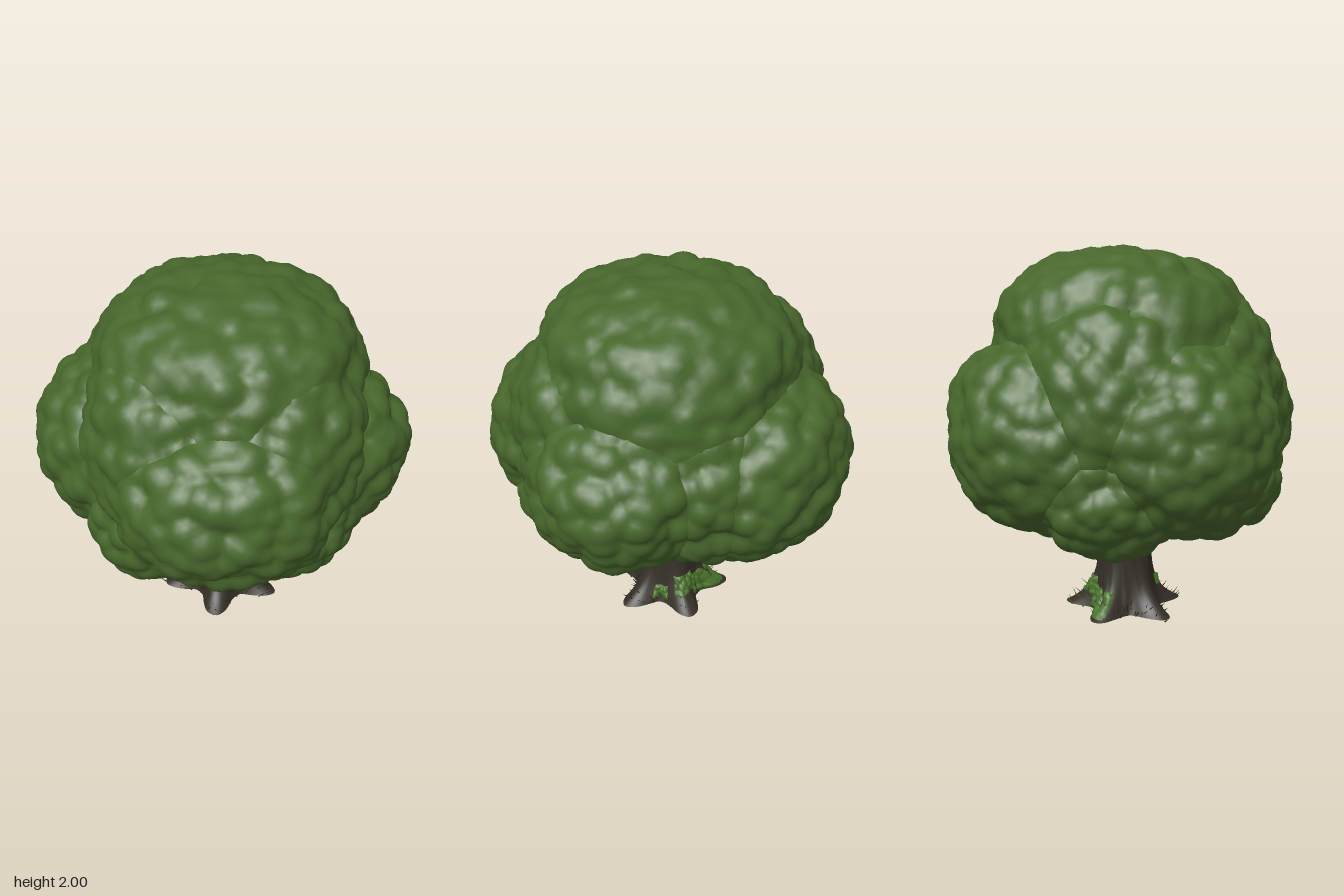
import * as THREE from 'three';
import { mergeVertices, mergeGeometries, toCreasedNormals } from 'three/addons/utils/BufferGeometryUtils.js';

const flat = (name, color, side = THREE.FrontSide) => {
  const m = new THREE.MeshStandardMaterial({ color, side });
  m.name = name;
  return m;
};

// Repeatable pseudo-random value for a lattice point
const hash = (x, y, z, k) => {
  const s = Math.sin(x * 127.1 + y * 311.7 + z * 74.7 + k * 53.3) * 43758.5453;
  return s - Math.floor(s);
};

// Rounded puffs: 1 at a cell's centre, falling to about 0 in the creases
function puff(p, size) {
  const x = p.x / size, y = p.y / size, z = p.z / size;
  const ix = Math.floor(x), iy = Math.floor(y), iz = Math.floor(z);
  let best = 9;
  for (let i = ix - 1; i <= ix + 1; i++)
    for (let j = iy - 1; j <= iy + 1; j++)
      for (let k = iz - 1; k <= iz + 1; k++) {
        const dx = i + hash(i, j, k, 1) - x, dy = j + hash(i, j, k, 2) - y, dz = k + hash(i, j, k, 3) - z;
        best = Math.min(best, dx * dx + dy * dy + dz * dz);
      }
  return 1 - Math.min(best, 1);
}

// Leafy mass: an ellipsoid (boxier in height when power > 2) covered in puffs
function leafMass(centre, radii, power = 2) {
  let g = new THREE.IcosahedronGeometry(1, 21);
  g.deleteAttribute('normal');
  g.deleteAttribute('uv');
  g = mergeVertices(g, 1e-4);
  const c = new THREE.Vector3(...centre), r = new THREE.Vector3(...radii);
  const pos = g.attributes.position, dir = new THREE.Vector3(), p = new THREE.Vector3();
  for (let i = 0; i < pos.count; i++) {
    dir.fromBufferAttribute(pos, i);
    const flatLen = Math.hypot(dir.x, dir.z);
    const s = Math.pow(Math.pow(flatLen, power) + Math.pow(Math.abs(dir.y), power), -1 / power);
    p.copy(dir).multiplyScalar(s).multiply(r).add(c);
    const bump = 0.065 * (puff(p, 0.13) - 0.78) + 0.04 * (puff(p, 0.3) - 0.75);
    p.addScaledVector(dir, bump);
    pos.setXYZ(i, p.x, p.y, p.z);
  }
  g.computeVertexNormals();
  return g;
}

// Trunk radius at an angle and height, with five spreading roots
const ROOT = THREE.MathUtils.degToRad(27);
function trunkRadius(a, y) {
  const root = Math.pow(0.5 + 0.5 * Math.cos(5 * (a - ROOT)), 1.4);
  const bark = 0.002 * Math.sin(a * 17 + Math.sin(y * 14) * 1.5) + 0.001 * Math.sin(a * 31 - y * 9);
  return 0.138 + 0.055 * Math.exp(-y / 0.14) + 0.145 * Math.exp(-y / 0.09) * root + bark;
}

function trunkGeometry() {
  const g = new THREE.CylinderGeometry(1, 1, 1, 110, 30);
  const pos = g.attributes.position;
  for (let i = 0; i < pos.count; i++) {
    const x = pos.getX(i), z = pos.getZ(i), a = Math.atan2(z, x);
    const y = 0.8 * Math.pow(pos.getY(i) + 0.5, 1.6);
    const r = trunkRadius(a, y) * Math.hypot(x, z);
    pos.setXYZ(i, Math.cos(a) * r, y + 0.012, Math.sin(a) * r);
  }
  return toCreasedNormals(g, 0.8);
}

// Tapering limb along a curve
function limb(points, r0, r1) {
  const curve = new THREE.CatmullRomCurve3(points.map(p => new THREE.Vector3(...p)));
  const rows = 14, sides = 14;
  const g = new THREE.TubeGeometry(curve, rows, 1, sides);
  const pos = g.attributes.position, p = new THREE.Vector3();
  for (let i = 0; i < pos.count; i++) {
    const t = Math.floor(i / (sides + 1)) / rows, c = curve.getPointAt(t);
    p.fromBufferAttribute(pos, i).sub(c).multiplyScalar(r0 + (r1 - r0) * t).add(c);
    pos.setXYZ(i, p.x, p.y, p.z);
  }
  return g;
}

// Moss sheet hugging the trunk; its ragged rim sinks into the bark
function mossPatch(a0, a1, y0, y1) {
  const g = new THREE.PlaneGeometry(1, 1, 40, 20);
  const pos = g.attributes.position, p = new THREE.Vector3();
  for (let i = 0; i < pos.count; i++) {
    const u = pos.getX(i), v = pos.getY(i);
    const a = a0 + (a1 - a0) * (u + 0.5), y = y0 + (y1 - y0) * (v + 0.5);
    p.set(Math.cos(a) * 0.25, y, Math.sin(a) * 0.25);
    const rim = 1 - 4 * Math.max(u * u, v * v);
    const r = trunkRadius(a, y) + 0.03 * puff(p, 0.04) * Math.min(1, rim * 2) - 0.011;
    pos.setXYZ(i, Math.cos(a) * r, y + 0.012, Math.sin(a) * r);
  }
  g.computeVertexNormals();
  return g;
}

// Short blades leaning outward from the roots between two angles
function blades(count, a0, a1, top) {
  const list = [];
  for (let i = 0; i < count; i++) {
    const a = a0 + (i + hash(i, 0, 0, 4)) / count * (a1 - a0);
    const h = 0.03 + 0.035 * hash(i, 1, 0, 5), y = top * hash(i, 2, 0, 6);
    const r = trunkRadius(a, y) - 0.005;
    const g = new THREE.ConeGeometry(0.005, h, 3);
    g.translate(0, h / 2, 0);
    g.rotateZ(-0.3 - 0.7 * hash(i, 3, 0, 7));
    g.rotateY(-a + (hash(i, 4, 0, 8) - 0.5));
    g.translate(Math.cos(a) * r, y, Math.sin(a) * r);
    list.push(g);
  }
  return mergeGeometries(list);
}

export function createModel() {
  const leaf = flat('leaf green', 0x48672c);
  const bark = flat('bark brown', 0x352f27);
  const shade = flat('inner twig brown', 0x2b2620);
  const moss = flat('moss green', 0x48722a, THREE.DoubleSide);
  const blade = flat('dry blade', 0x2e2c20, THREE.DoubleSide);

  const tree = new THREE.Group();
  tree.name = 'tree';
  const add = (name, geometry, material) => {
    const m = new THREE.Mesh(geometry, material);
    m.name = name;
    tree.add(m);
  };

  // Canopy: crown, four side masses, and upper and lower masses on the diagonals
  const masses = {
    crown: [[0.03, 1.35, 0], [0.72, 0.635, 0.71], 2.7],
    frontLeaves: [[0.01, 1.07, 0.45], [0.62, 0.52, 0.54]],
    backLeaves: [[0.03, 1.06, -0.45], [0.6, 0.55, 0.54]],
    leftLeaves: [[0.46, 1.06, 0.04], [0.54, 0.49, 0.5]],
    rightLeaves: [[-0.46, 1.07, -0.02], [0.54, 0.53, 0.54]],
    upperFrontLeft: [[0.22, 1.23, 0.24], [0.53, 0.63, 0.53]],
    upperFrontRight: [[-0.23, 1.21, 0.23], [0.52, 0.63, 0.52]],
    upperBackRight: [[-0.23, 1.22, -0.23], [0.53, 0.63, 0.53]],
    upperBackLeft: [[0.28, 1.08, -0.29], [0.45, 0.52, 0.45]],
    lowerFrontLeft: [[0.3, 0.83, 0.3], [0.43, 0.4, 0.43]],
    lowerFrontRight: [[-0.3, 0.83, 0.3], [0.43, 0.4, 0.43]],
    lowerBackRight: [[-0.3, 0.83, -0.29], [0.43, 0.4, 0.44]],
  };
  for (const [name, args] of Object.entries(masses)) add(name, leafMass(...args), leaf);

  // Trunk and limbs
  add('trunk', trunkGeometry(), bark);
  add('leftLimb', limb([[0.04, 0.38, 0.05], [0.17, 0.45, 0.08], [0.3, 0.54, 0.09], [0.5, 0.85, 0.08]], 0.08, 0.05), bark);
  add('rightLimb', limb([[-0.04, 0.45, 0], [-0.2, 0.58, -0.03], [-0.45, 0.9, -0.05]], 0.09, 0.04), bark);
  add('frontLimb', limb([[0, 0.48, 0.04], [-0.02, 0.6, 0.2], [0, 0.9, 0.45]], 0.08, 0.04), bark);
  add('backLimb', limb([[0, 0.48, -0.04], [0.04, 0.6, -0.2], [0.06, 0.9, -0.45]], 0.08, 0.04), bark);

  // Shadowy twigs inside the canopy
  const twigs = new THREE.SphereGeometry(1, 28, 16);
  twigs.scale(0.33, 0.2, 0.33);
  twigs.translate(0, 0.7, 0);
  add('innerTwigs', twigs, shade);

  // Moss and blades at the foot
  const rad = THREE.MathUtils.degToRad;
  add('mossBackRoot', mossPatch(rad(-130), rad(-65), 0.0, 0.14), moss);
  add('mossBackLeft', mossPatch(rad(-75), rad(-28), 0.06, 0.18), moss);
  add('mossLeft', mossPatch(rad(-22), rad(8), 0.02, 0.11), moss);
  add('mossFront', mossPatch(rad(104), rad(118), 0.1, 0.17), moss);
  add('dryBlades', blades(80, rad(-28), rad(230), 0.06), blade);
  add('mossBlades', blades(45, rad(-130), rad(-28), 0.12), moss);

  return tree;
}
